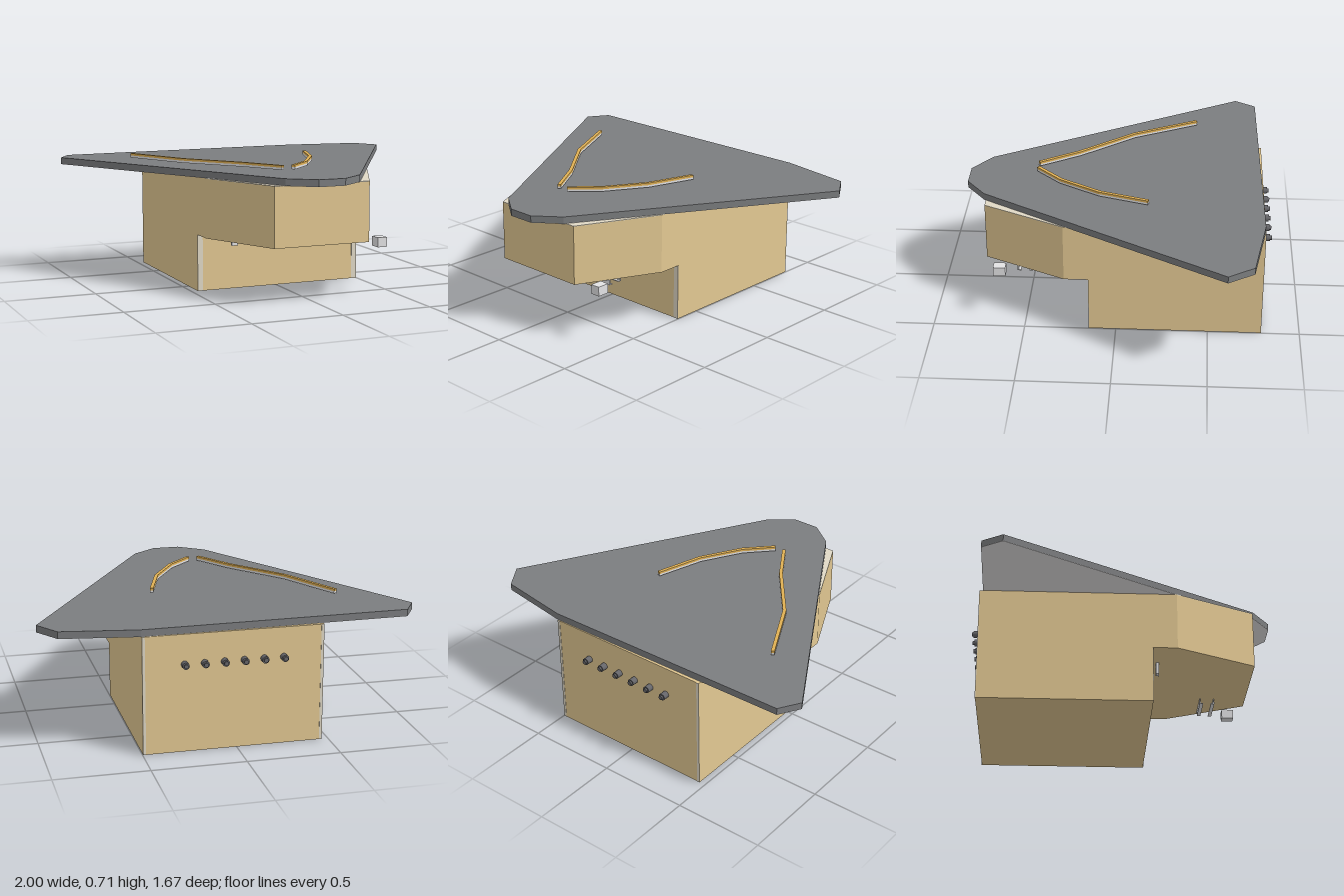
import * as THREE from 'three';

const mat = (name, color) => {
  const m = new THREE.MeshStandardMaterial({ color });
  m.name = name;
  return m;
};

// Upright prism over a plan outline of [x, z] points
function prism(points, y0, y1) {
  const shape = new THREE.Shape(points.map(([x, z]) => new THREE.Vector2(x, -z)));
  const g = new THREE.ExtrudeGeometry(shape, { depth: y1 - y0, bevelEnabled: false });
  return g.rotateX(-Math.PI / 2).translate(0, y0, 0);
}

// Outline of a strip of constant width along a plan path
function ribbon(path, width) {
  const left = [], right = [];
  path.forEach(([x, z], i) => {
    const a = path[Math.max(i - 1, 0)], b = path[Math.min(i + 1, path.length - 1)];
    const dx = b[0] - a[0], dz = b[1] - a[1], k = width / 2 / Math.hypot(dx, dz);
    left.push([x - dz * k, z + dx * k]);
    right.unshift([x + dz * k, z - dx * k]);
  });
  return [...left, ...right];
}

export function createModel() {
  const model = new THREE.Group();
  const wood = mat('wood', 0xe2c892);
  const edge = mat('pale edge', 0xe0d9c6);
  const slate = mat('slate grey', 0x7b7d7f);
  const pale = mat('pale underside', 0xe4e2e2);
  const dark = mat('dark knob', 0x66666a);
  const brass = mat('brass', 0xe0b054);
  const metal = mat('light metal', 0xe2e2e4);

  const add = (name, geometry, material) => {
    const mesh = new THREE.Mesh(geometry, material);
    mesh.name = name;
    model.add(mesh);
    return mesh;
  };
  // Box given by its min and max corners
  const box = (name, a, b, material) => {
    const g = new THREE.BoxGeometry(b[0] - a[0], b[1] - a[1], b[2] - a[2]);
    g.translate((a[0] + b[0]) / 2, (a[1] + b[1]) / 2, (a[2] + b[2]) / 2);
    return add(name, g, material);
  };

  // Cabinet: lower block and overhanging tapered upper part
  const L = -0.465, R = 0.497, back = -0.79;
  box('lowerCabinet', [L, 0, back], [R, 0.312, 0.147], wood);
  add('upperCabinet', prism([[L, back], [R, back], [R, 0.28], [0.287, 0.72], [-0.257, 0.72], [L, 0.28]],
    0.312, 0.635), wood);

  // Pale end grain of the side panels
  for (const [x, inward] of [[L, 1], [R, -1]]) {
    const strip = (name, width, z0, z1, top) => {
      const x2 = x + inward * width;
      box(name, [Math.min(x, x2), 0, z0], [Math.max(x, x2), top, z1], edge);
    };
    strip('frontPanelEdge', 0.03, 0.146, 0.149, 0.31);
    strip('backPanelEdge', 0.015, back - 0.002, back + 0.002, 0.635);
  }
  add('leftPanelTop', prism([[R, 0.28], [0.287, 0.72], [0.2, 0.72], [0.45, 0.2]], 0.633, 0.637), edge);
  add('rightPanelTop', prism([[L, 0.28], [-0.257, 0.72], [-0.17, 0.72], [-0.42, 0.2]], 0.633, 0.637), edge);

  // Tabletop with a pale underside
  const plan = [[-1, -0.65], [-0.93, -0.765], [0.5, -0.788], [0.91, -0.722], [1, -0.585],
    [0.225, 0.73], [0.09, 0.835], [-0.06, 0.835], [-0.2, 0.73]];
  add('tabletop', prism(plan, 0.638, 0.674), slate);
  add('tabletopUnderside', prism(plan, 0.636, 0.638), pale);

  // Two bent rails just above the tabletop
  const rails = {
    rightRail: [[-0.65, -0.415], [-0.47, -0.06], [-0.23, 0.24], [-0.095, 0.457]],
    leftRail: [[0.313, -0.165], [0.23, 0.1], [0.1, 0.32], [-0.035, 0.457]],
  };
  for (const [name, path] of Object.entries(rails)) {
    const outline = ribbon(path, 0.019);
    add(name + 'Base', prism(outline, 0.684, 0.696), metal);
    add(name, prism(outline, 0.696, 0.708), brass);
  }

  // Row of knobs on the back
  for (let i = 0; i < 6; i++) {
    const x = -0.248 + i * 0.105;
    const knob = add('knob', new THREE.CylinderGeometry(0.019, 0.019, 0.035, 12), dark);
    const tip = add('knobTip', new THREE.CylinderGeometry(0.012, 0.012, 0.012, 12), dark);
    for (const m of [knob, tip]) m.rotation.x = Math.PI / 2;
    knob.position.set(x, 0.475, back - 0.0175);
    tip.position.set(x, 0.475, back - 0.039);
  }

  // Fittings under the overhang
  box('sideBlock', [0.364, 0.27, 0.605], [0.418, 0.322, 0.672], metal);
  for (const [z, foot] of [[0.54, -1], [0.462, 1]]) {
    box('runner', [0.19, 0.28, z - 0.003], [0.37, 0.312, z + 0.003], metal);
    const z2 = z + foot * 0.017;
    box('runnerFoot', [0.19, 0.28, Math.min(z, z2)], [0.37, 0.285, Math.max(z, z2)], metal);
  }
  box('hangingCatch', [-0.28, 0.245, 0.175], [-0.246, 0.312, 0.192], metal);

  return model;
}
